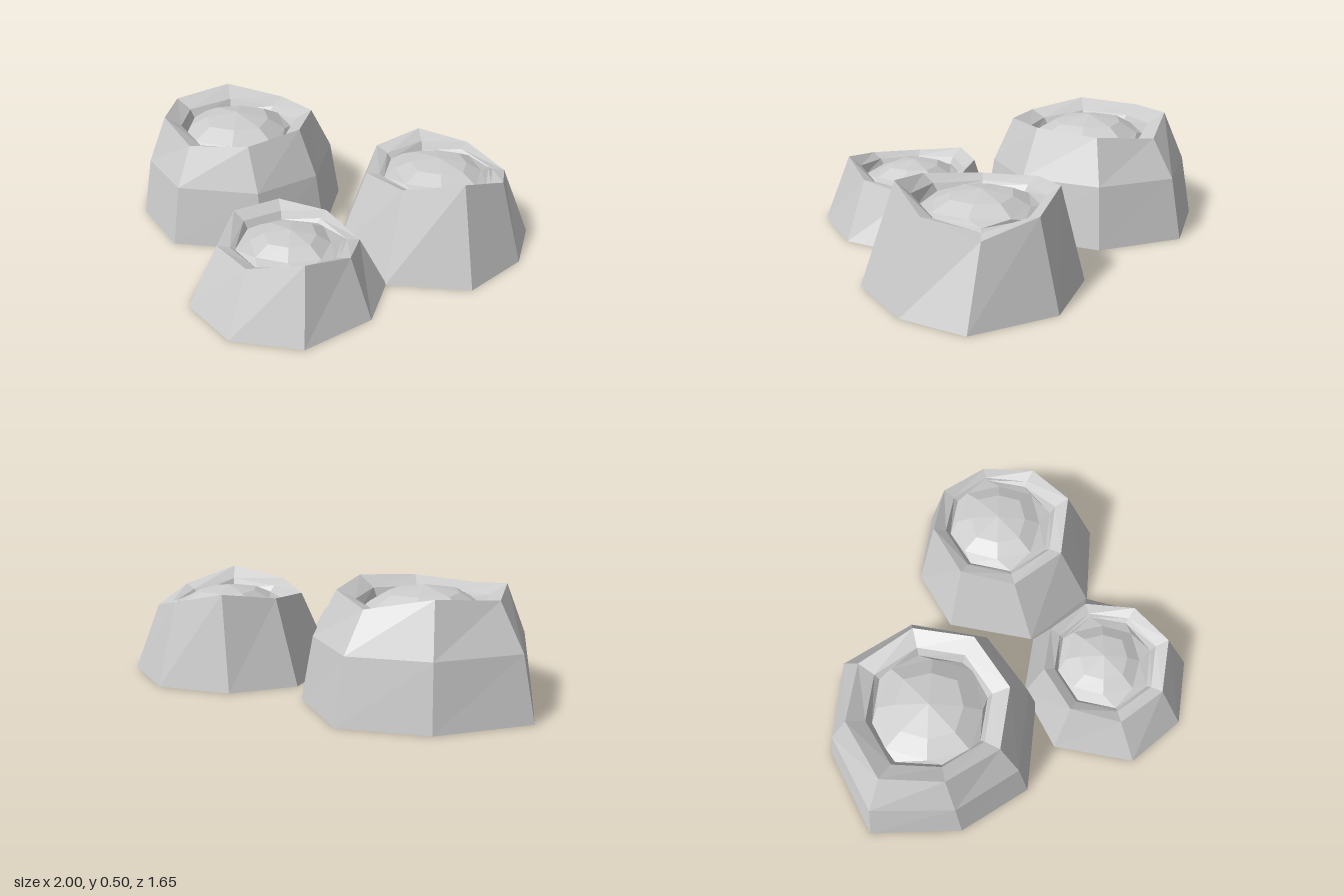
import * as THREE from 'three';

const SIDES = 8;
const material = new THREE.MeshStandardMaterial({ color: 0xcccccc, flatShading: true, side: THREE.DoubleSide });

// Joins a stack of eight-point rings into one faceted skin
function loft(rings, name) {
  const index = [];
  for (let r = 0; r < rings.length - 1; r++) {
    for (let j = 0; j < SIDES; j++) {
      const a = r * SIDES + j, b = r * SIDES + (j + 1) % SIDES;
      index.push(a, a + SIDES, b, b, a + SIDES, b + SIDES);
    }
  }
  const geometry = new THREE.BufferGeometry();
  geometry.setAttribute('position', new THREE.Float32BufferAttribute(rings.flat(2), 3));
  geometry.setIndex(index);
  const flat = geometry.toNonIndexed();
  flat.computeVertexNormals();
  const mesh = new THREE.Mesh(flat, material);
  mesh.name = name;
  return mesh;
}

// Ring running back, left, front, right; radius and height are functions of the corner number
function ring(radius, height, turn = 0) {
  return Array.from({ length: SIDES }, (_, j) => {
    const a = (j / SIDES) * Math.PI * 2 + turn;
    return [radius(j) * Math.sin(a), height(j), -radius(j) * Math.cos(a)];
  });
}

// base holds the [x, z] corners on the ground, measured from the shell's centre
function makeShell({ name, x, z, base, baseMean, rimRadius, rimY, lipScale, dome, bulge }) {
  const group = new THREE.Group();
  group.name = name;
  group.position.set(x, 0, z);

  // The rim echoes the uneven base; the lip slopes from it down towards the dome
  const rimR = (j) => rimRadius + 0.4 * (Math.hypot(...base[j]) - baseMean);
  const lipR = (j) => rimR(j) * lipScale;
  const lipY = (j) => THREE.MathUtils.lerp(rimY[j], dome.y, 0.5);

  // Open outer wall, optionally bent at mid height, then rim, lip and pit wall
  const foot = base.map(([px, pz]) => [px, 0, pz]);
  const rim = ring(rimR, (j) => rimY[j]);
  const pit = ring((j) => lipR(j) * 0.92, () => dome.y);
  const rings = [foot, rim, ring(lipR, lipY), pit];
  if (bulge) {
    const mix = (j, k) => THREE.MathUtils.lerp(foot[j][k], rim[j][k], bulge.t);
    rings.splice(1, 0, base.map((_, j) => [mix(j, 0), bulge.y, mix(j, 2)]));
  }
  group.add(loft(rings, 'wall'));

  // Low faceted dome filling the pit, turned slightly against the wall
  const level = (s, h) => ring((j) => dome.r * s * (j % 2 ? 0.94 : 1.05), () => dome.y + dome.h * h, 0.25);
  group.add(loft([pit, level(0.93, 0.2), level(0.6, 0.7), level(0, 1)], 'dome'));
  return group;
}

export function createModel() {
  const model = new THREE.Group();
  model.name = 'shellCluster';

  model.add(makeShell({
    name: 'largeShell', x: -0.43, z: -0.15,
    base: [[0, -0.56], [0.37, -0.38], [0.52, 0], [0.39, 0.33], [0, 0.52], [-0.33, 0.36], [-0.57, 0], [-0.35, -0.38]],
    baseMean: 0.53, rimRadius: 0.375,
    rimY: [0.45, 0.48, 0.5, 0.48, 0.46, 0.5, 0.48, 0.505],
    lipScale: 0.78, dome: { r: 0.27, y: 0.4, h: 0.1 }, bulge: { t: 0.34, y: 0.28 },
  }));

  model.add(makeShell({
    name: 'mediumShell', x: 0.555, z: -0.41,
    base: [[0, -0.42], [0.365, -0.29], [0.445, 0], [0.365, 0.34], [0.025, 0.52], [-0.315, 0.39], [-0.465, 0], [-0.32, -0.28]],
    baseMean: 0.47, rimRadius: 0.335,
    rimY: [0.375, 0.32, 0.38, 0.45, 0.4, 0.37, 0.39, 0.425],
    lipScale: 0.82, dome: { r: 0.23, y: 0.34, h: 0.075 },
  }));

  model.add(makeShell({
    name: 'smallShell', x: 0.245, z: 0.37,
    base: [[0, -0.38], [0.335, -0.27], [0.415, 0], [0.295, 0.33], [0.005, 0.455], [-0.285, 0.36], [-0.425, 0], [-0.265, -0.27]],
    baseMean: 0.42, rimRadius: 0.305,
    rimY: [0.265, 0.22, 0.27, 0.32, 0.275, 0.26, 0.3, 0.3],
    lipScale: 0.82, dome: { r: 0.2, y: 0.23, h: 0.075 },
  }));

  return model;
}
